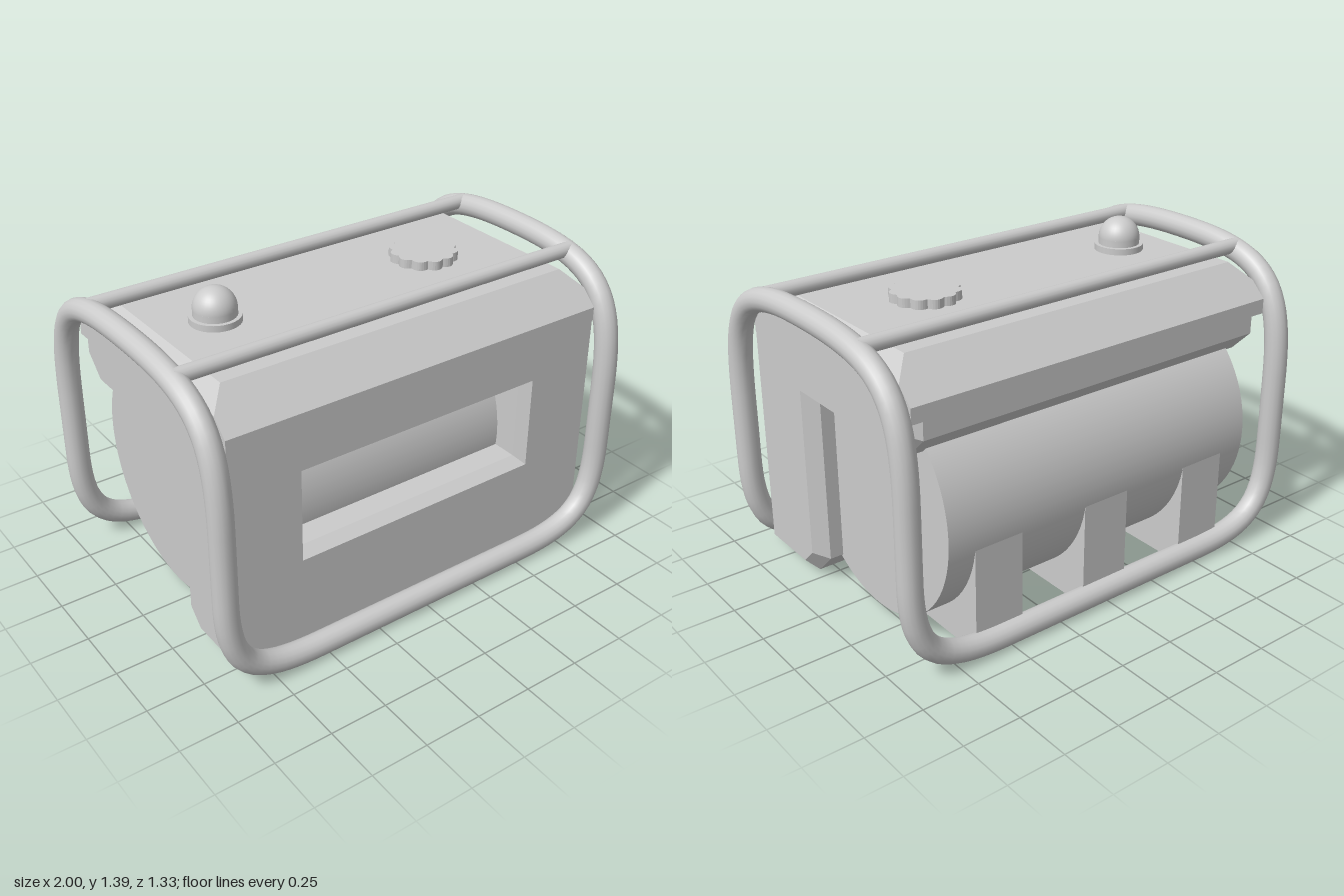
import * as THREE from 'three';

const material = new THREE.MeshStandardMaterial({ color: 0xcccccc, side: THREE.DoubleSide });
const flatMaterial = material.clone();
flatMaterial.flatShading = true;

function add(group, name, geometry, x = 0, y = 0, z = 0, mat = material) {
  const mesh = new THREE.Mesh(geometry, mat);
  mesh.name = name;
  mesh.position.set(x, y, z);
  group.add(mesh);
}

// Flat-faced skin through a list of rings of [x, y, z]; one edge may be left open
function loft(rings, openEdge = -1, capped = false) {
  const out = [];
  const n = rings[0].length;
  for (let i = 0; i < rings.length - 1; i++) {
    for (let j = 0; j < n; j++) {
      if (j === openEdge) continue;
      const k = (j + 1) % n;
      const [a, b, c, d] = [rings[i][j], rings[i][k], rings[i + 1][k], rings[i + 1][j]];
      out.push(...a, ...b, ...c, ...a, ...c, ...d);
    }
  }
  if (capped) {
    const contour = rings[0].map(([, y, z]) => new THREE.Vector2(-z, y));
    const last = rings[rings.length - 1];
    for (const [a, b, c] of THREE.ShapeUtils.triangulateShape(contour, [])) {
      out.push(...last[a], ...last[b], ...last[c]);
      out.push(...rings[0][c], ...rings[0][b], ...rings[0][a]);
    }
  }
  const geometry = new THREE.BufferGeometry();
  geometry.setAttribute('position', new THREE.Float32BufferAttribute(out, 3));
  geometry.computeVertexNormals();
  return geometry;
}

const section = (profile, x) => profile.map(([z, y]) => [x, y, z]);

// Profile of [z, y] run along x, chamfered to a smaller profile at both ends
function chamferedRun(outer, inset, innerX, endX, openEdge) {
  return loft([
    section(inset, -endX), section(outer, -innerX), section(outer, innerX), section(inset, endX),
  ], openEdge, true);
}

const rect = (w, y0, y1, z) => [[-w, y0, z], [w, y0, z], [w, y1, z], [-w, y1, z]];

// One quarter of the frame loop: bottom bar, corner, upright, roof bend
function frameQuarter() {
  const v = (x, y, z) => new THREE.Vector3(x, y, z);
  const X = 0.95, Z = 0.615, B = 0.053, T = 1.285;
  const path = new THREE.CurvePath();
  path.add(new THREE.LineCurve3(v(0, B, Z), v(0.52, B, Z)));
  path.add(new THREE.CubicBezierCurve3(v(0.52, B, Z), v(0.86, B, Z), v(X, 0.14, Z), v(X, 0.46, Z)));
  path.add(new THREE.LineCurve3(v(X, 0.46, Z), v(X, 0.75, Z)));
  path.add(new THREE.CubicBezierCurve3(v(X, 0.75, Z), v(X, 1.2, Z), v(X, T, 0.5), v(X, T, 0)));
  return path.getSpacedPoints(30);
}

export function createModel() {
  const model = new THREE.Group();
  model.name = 'portableTankUnit';

  // L-shaped housing with chamfered ends, open at the front for the panel
  const front = 0.566;
  add(model, 'housing', chamferedRun(
    [[front, 0.03], [0.27, 0.03], [0.17, 0.13], [0.17, 0.87], [-0.465, 0.87], [-0.56, 0.965], [-0.56, 1.045], [front, 1.045]],
    [[front, 0.085], [0.293, 0.085], [0.225, 0.153], [0.225, 0.897], [-0.423, 0.897], [-0.51, 0.985], [-0.51, 1.045], [front, 1.045]],
    0.835, 0.89, 7));

  // Front panel with a window opening
  const panel = new THREE.Shape([
    [-0.835, 0.03], [0.835, 0.03], [0.89, 0.085], [0.89, 1.045], [-0.89, 1.045], [-0.89, 0.085],
  ].map(([x, y]) => new THREE.Vector2(x, y)));
  const opening = rect(0.575, 0.452, 0.863, front);
  panel.holes.push(new THREE.Path(opening.map(([x, y]) => new THREE.Vector2(x, y))));
  add(model, 'frontPanel', new THREE.ShapeGeometry(panel), 0, 0, front);
  add(model, 'windowReveal', loft([
    opening, rect(0.543, 0.485, 0.83, front - 0.05), rect(0.543, 0.485, 0.83, 0.28),
  ]));

  // Lid with sloped front and back and chamfered ends
  add(model, 'lid', chamferedRun(
    [[0.57, 1.045], [-0.57, 1.045], [-0.57, 1.11], [-0.425, 1.25], [0.425, 1.25], [0.57, 1.11]],
    [[0.57, 1.045], [-0.57, 1.045], [-0.57, 1.11], [-0.502, 1.176], [0.502, 1.176], [0.57, 1.11]],
    0.815, 0.89));

  // Horizontal tank
  const tank = new THREE.CylinderGeometry(0.512, 0.512, 1.55, 72);
  tank.rotateZ(Math.PI / 2);
  add(model, 'tank', tank, 0, 0.547, -0.1);

  // Cradles under the tank, rising behind it to meet its rear
  const cradle = [[0.566, 0.012], [-0.606, 0.012], [-0.606, 0.5], [-0.5, 0.5], [0.2, 0.3], [0.566, 0.3]];
  for (const x of [-0.54, 0, 0.54]) {
    add(model, 'cradle', loft([section(cradle, -0.112), section(cradle, 0.112)], -1, true), x);
  }

  // Tubular frame: one closed loop from four mirrored quarters
  const quarter = frameQuarter();
  const points = [];
  for (const [sx, sz, reversed] of [[1, 1, false], [1, -1, true], [-1, -1, false], [-1, 1, true]]) {
    const part = quarter.map((p) => new THREE.Vector3(p.x * sx, p.y, p.z * sz));
    if (reversed) part.reverse();
    points.push(...part.slice(0, -1));
  }
  const loop = new THREE.CatmullRomCurve3(points, true);
  add(model, 'frame', new THREE.TubeGeometry(loop, 260, 0.05, 16, true));

  // Roof rails
  for (const z of [-0.34, 0.34]) {
    const rail = new THREE.CylinderGeometry(0.032, 0.032, 1.9, 16);
    rail.rotateZ(Math.PI / 2);
    add(model, 'roofRail', rail, 0, 1.278, z);
  }

  // Domed lamp on a round base
  add(model, 'lampBase', new THREE.CylinderGeometry(0.105, 0.105, 0.03, 32), -0.58, 1.262, 0);
  add(model, 'lampBody', new THREE.CylinderGeometry(0.088, 0.088, 0.05, 32), -0.58, 1.28, 0);
  add(model, 'lampDome', new THREE.SphereGeometry(0.088, 32, 12, 0, Math.PI * 2, 0, Math.PI / 2), -0.58, 1.304, 0);

  // Scalloped filler cap
  const cap = new THREE.Shape();
  for (let i = 0; i < 96; i++) {
    const a = (i / 96) * Math.PI * 2;
    const r = 0.13 + 0.016 * Math.abs(Math.sin(a * 6));
    cap[i ? 'lineTo' : 'moveTo'](r * Math.cos(a), r * Math.sin(a));
  }
  const capGeometry = new THREE.ExtrudeGeometry(cap, { depth: 0.043, bevelEnabled: false });
  capGeometry.rotateX(-Math.PI / 2);
  add(model, 'fillerCap', capGeometry, 0.435, 1.245, 0, flatMaterial);

  return model;
}
